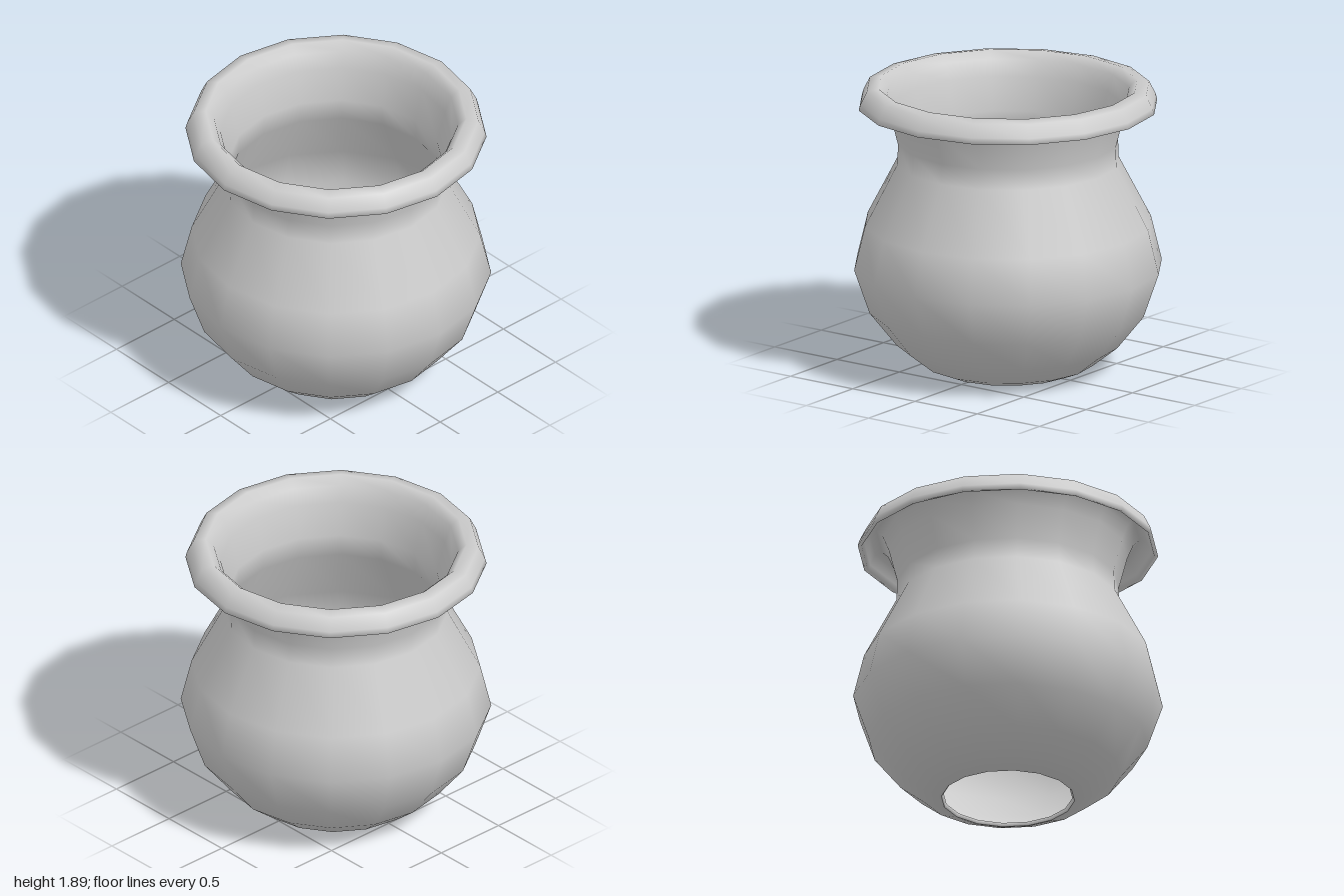
import * as THREE from 'three';

// Thin-walled, sixteen-sided pot with a folded-over lip and an open base.
export function createModel() {
  const group = new THREE.Group();
  group.name = 'pot';
  const clay = new THREE.MeshStandardMaterial({ color: 0xcccccc });
  clay.name = 'grey clay';

  // Outer wall, from the base hole up to the hollow under the lip
  const outer = [
    [0.43, 0], [0.45, 0.005], [0.56, 0.05], [0.725, 0.18], [0.9, 0.4], [1, 0.69],
    [0.93, 0.98], [0.72, 1.385], [0.715, 1.52], [0.77, 1.735], [0.81, 1.83], [0.85, 1.868],
    [0.895, 1.855], [0.93, 1.79], [0.945, 1.757],
  ];
  // Top of the lip, from its hanging edge back to the mouth
  const lip = [[0.97, 1.757], [0.96, 1.795], [0.918, 1.88], [0.84, 1.895], [0.787, 1.845]];
  // Inner wall, down to the base hole
  const inner = [
    [0.745, 1.74], [0.69, 1.525], [0.695, 1.38], [0.905, 0.975], [0.975, 0.69],
    [0.878, 0.41], [0.71, 0.2], [0.55, 0.075], [0.445, 0.03], [0.415, 0.02], [0.43, 0],
  ];

  const profile = [...outer, ...lip, ...inner].map(([r, y]) => new THREE.Vector2(r, y));
  const body = new THREE.Mesh(new THREE.LatheGeometry(profile, 16), clay);
  body.name = 'potBody';
  group.add(body);
  return group;
}
